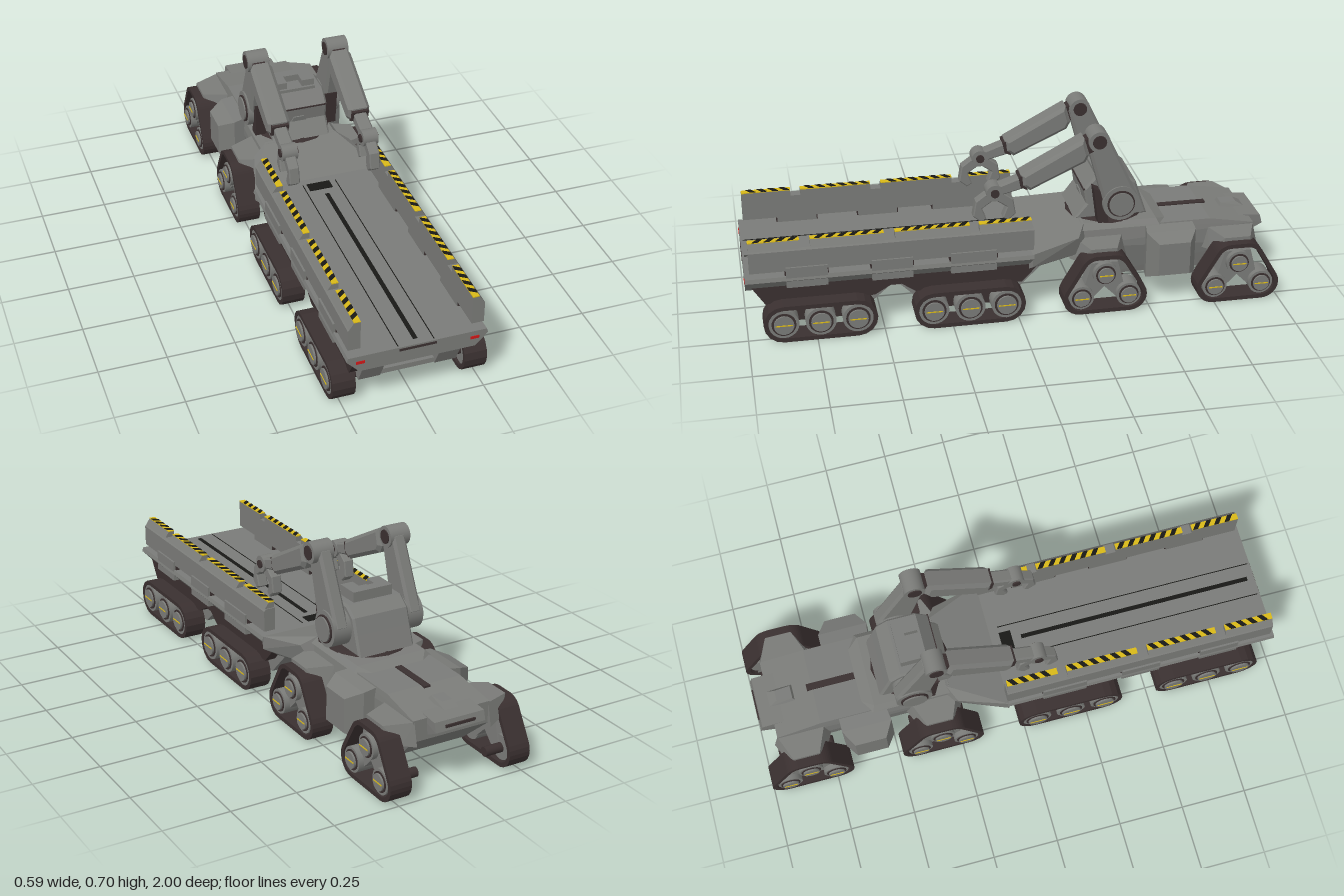
import * as THREE from 'three';
import { ConvexGeometry } from 'three/addons/geometries/ConvexGeometry.js';

const mat = (name, color) => Object.assign(new THREE.MeshStandardMaterial({ color }), { name });
const grey = mat('hull grey', 0x7a7b78);
const brown = mat('track brown', 0x3a3030);
const black = mat('black', 0x181816);
const yellow = mat('hazard yellow', 0xd8b818);
const red = mat('lamp red', 0xd01818);

export function createModel() {
  const root = new THREE.Group();
  root.name = 'trackedHauler';

  const add = (name, geo, m, parent = root) => {
    const mesh = new THREE.Mesh(geo, m);
    mesh.name = name;
    parent.add(mesh);
    return mesh;
  };
  const group = (name) => {
    const g = new THREE.Group();
    g.name = name;
    root.add(g);
    return g;
  };
  const box = (name, x0, x1, y0, y1, z0, z1, m, parent) =>
    add(name, new THREE.BoxGeometry(x1 - x0, y1 - y0, z1 - z0)
      .translate((x0 + x1) / 2, (y0 + y1) / 2, (z0 + z1) / 2), m, parent);
  const shapeOf = (pts) => new THREE.Shape(pts.map((p) => new THREE.Vector2(p[0], p[1])));
  // Side outline of (z, y) points, extruded from x0 to x1
  const profile = (name, shape, x0, x1, m, parent, b = 0) => {
    if (Array.isArray(shape)) shape = shapeOf(shape);
    const geo = new THREE.ExtrudeGeometry(shape, {
      depth: x1 - x0 - 2 * b, bevelEnabled: b > 0, bevelSize: b, bevelOffset: -b, bevelThickness: b, bevelSegments: 1,
    });
    return add(name, geo.translate(0, 0, b).rotateY(-Math.PI / 2).translate(x1, 0, 0), m, parent);
  };
  // Front outline of (x, y) points, extruded from z0 to z1
  const section = (name, pts, z0, z1, m, parent) =>
    add(name, new THREE.ExtrudeGeometry(shapeOf(pts), { depth: z1 - z0, bevelEnabled: false }).translate(0, 0, z0), m, parent);
  // Convex block, optionally mirrored in x
  const block = (name, pts, m, parent, mirror = true) => {
    const v = [];
    for (const [x, y, z] of pts) {
      v.push(new THREE.Vector3(x, y, z));
      if (mirror) v.push(new THREE.Vector3(-x, y, z));
    }
    return add(name, new ConvexGeometry(v), m, parent);
  };
  // Disc or drum lying along x
  const drum = (name, z, y, r, x0, x1, m, parent, n = 24) =>
    add(name, new THREE.CylinderGeometry(r, r, x1 - x0, n).rotateZ(Math.PI / 2).translate((x0 + x1) / 2, y, z), m, parent);
  // Belt outline around counter-clockwise wheel centres
  const beltOutline = (centres, r) => {
    const n = centres.length;
    const normal = (i) => {
      const a = centres[i % n], b = centres[(i + 1) % n];
      return Math.atan2(b[1] - a[1], b[0] - a[0]) - Math.PI / 2;
    };
    const pts = [];
    for (let i = 0; i < n; i++) {
      const a = normal(i + n - 1);
      const turn = (normal(i) - a + 4 * Math.PI) % (2 * Math.PI);
      for (let k = 0; k <= 8; k++) {
        const t = a + (turn * k) / 8;
        pts.push([centres[i][0] + r * Math.cos(t), centres[i][1] + r * Math.sin(t)]);
      }
    }
    return pts;
  };
  const track = (parent, s, centres, wheels, r, wheelR) => {
    const shape = shapeOf(beltOutline(centres, r));
    shape.holes.push(new THREE.Path(beltOutline(centres, r - 0.016).map((p) => new THREE.Vector2(...p))));
    const span = (a, b) => (s > 0 ? [a, b] : [-b, -a]);
    profile('trackBelt', shape, ...span(0.2, 0.284), brown, parent);
    for (const [z, y] of wheels) {
      drum('wheel', z, y, wheelR, ...span(0.21, 0.282), grey, parent);
      drum('wheelRecess', z, y, wheelR * 0.8, ...span(0.28, 0.285), brown, parent);
      drum('wheelHub', z, y, wheelR * 0.66, ...span(0.28, 0.292), grey, parent);
      box('hubMark', ...span(0.291, 0.294), y - 0.002, y + 0.002, z - wheelR * 0.55, z + wheelR * 0.55, yellow, parent);
      drum('axle', z, y, 0.018, ...span(0.14, 0.22), brown, parent);
    }
  };

  // Cargo bed slab and floor details
  section('bedSlab', [[-0.25, 0.25], [-0.255, 0.235], [-0.21, 0.187], [0.21, 0.187], [0.255, 0.235], [0.25, 0.25]], -0.06, 0.998, grey);
  box('floorGroove', -0.008, 0.008, 0.249, 0.252, 0.06, 0.97, black);
  for (const x of [-0.07, 0.06]) box('floorSeam', x - 0.0015, x + 0.0015, 0.249, 0.2515, -0.02, 0.99, black);
  box('floorHatch', -0.055, 0.035, 0.249, 0.253, -0.02, 0.025, black);
  box('frontSlot', -0.067, 0.067, 0.235, 0.244, 0.99, 1, brown);

  // Bed underside, with a recess in the middle of the nose
  const keel = (nose) => [[0.97 - nose, 0.19], [0.91 - nose, 0.07], [0.55, 0.07], [0.47, 0.14], [0.43, 0.14],
    [0.36, 0.07], [0, 0.07], [-0.12, 0.19]];
  profile('keel', keel(0.045), -0.1, 0.1, grey);
  box('keelSill', -0.1, 0.1, 0.07, 0.09, 0.8, 0.905, grey);

  // Neck, tractor body and deck
  block('neck', [[0.25, 0.25, -0.055], [0.25, 0.2, -0.055], [0.15, 0.13, -0.02], [0.14, 0.31, -0.27],
    [0.195, 0.275, -0.24], [0.16, 0.2, -0.28]], grey);
  block('tractorBody', [[0.15, 0.288, -0.22], [0.15, 0.288, -0.76], [0.155, 0.26, -0.93], [0.16, 0.22, -0.22],
    [0.155, 0.18, -0.93], [0.13, 0.08, -0.34], [0.13, 0.08, -0.82]], grey);
  block('deck', [[0.16, 0.285, -0.24], [0.16, 0.285, -0.56], [0.14, 0.308, -0.26], [0.14, 0.305, -0.55], [0.1, 0.285, -0.6]], grey);
  box('deckSlot', -0.013, 0.013, 0.284, 0.292, -0.78, -0.595, brown);
  block('tailBox', [[0.1, 0.272, -0.82], [0.1, 0.26, -0.975], [0.1, 0.225, -0.985], [0.095, 0.18, -0.9]], grey);
  block('tailLid', [[0.03, 0.27, -0.93], [0.035, 0.27, -0.83], [0.02, 0.288, -0.9], [0.025, 0.288, -0.84]], grey);
  box('tailSlot', -0.06, 0.06, 0.235, 0.245, -0.985, -0.978, brown);

  // Turntable and turret
  add('turntable', new THREE.CylinderGeometry(0.14, 0.15, 0.014, 16).translate(0, 0.311, -0.38), brown);
  profile('turret', [[-0.24, 0.316], [-0.285, 0.375], [-0.275, 0.435], [-0.32, 0.485], [-0.43, 0.485],
    [-0.475, 0.45], [-0.495, 0.39], [-0.52, 0.316]], -0.115, 0.115, grey, root, 0.008);
  box('turretSeam', -0.113, 0.113, 0.431, 0.436, -0.279, -0.272, brown);
  block('turretChin', [[0.03, 0.375, -0.28], [0.02, 0.395, -0.276], [0.03, 0.375, -0.3], [0.02, 0.395, -0.3]], grey);
  box('turretCap', -0.08, 0.08, 0.48, 0.497, -0.42, -0.32, grey);
  box('turretCapBack', -0.03, 0.03, 0.49, 0.523, -0.42, -0.38, grey);

  const segments = [[0.795, 0.98], [0.49, 0.757], [0.175, 0.45], [-0.055, 0.14]];
  const feet = [[0.7, 0.85], [0.39, 0.54], [0.08, 0.25]];
  for (const s of [1, -1]) {
    const side = s > 0 ? 'left' : 'right';
    const span = (a, b) => (s > 0 ? [a, b] : [-b, -a]);
    const m = (pts) => pts.map(([x, y]) => [x * s, y]);

    // Keel sides, brown skirt, lamps
    profile('keelSide', keel(0), ...span(0.1, 0.18), grey);
    profile('skirt', [[0.985, 0.215], [0.93, 0.13], [0.53, 0.13], [0.47, 0.165], [0.43, 0.165], [0.38, 0.13],
      [-0.02, 0.13], [-0.1, 0.215]], ...span(0.17, 0.222), brown);
    box('lamp', ...span(0.19, 0.222), 0.219, 0.23, 0.99, 1, red);
    box('turretCapSide', ...span(0.03, 0.08), 0.49, 0.523, -0.42, -0.33, grey);

    // Cargo wall with hazard-striped top
    const wall = group(side + 'Wall');
    section('wallPanel', m([[0.2, 0.27], [0.245, 0.27], [0.245, 0.35], [0.238, 0.358], [0.2, 0.358]]), -0.06, 0.98, grey, wall);
    for (const [z0, z1] of segments) {
      section('wallTop', m([[0.2, 0.355], [0.241, 0.355], [0.224, 0.38], [0.2, 0.38]]), z0, z1, grey, wall);
      box('hazardStrip', ...span(0.2, 0.224), 0.379, 0.383, z0, z1, yellow, wall);
      for (let z = z0 + 0.004; z + 0.04 < z1; z += 0.042) {
        const stripe = shapeOf([[0.2 * s, -z], [0.2 * s, -z - 0.02], [0.224 * s, -z - 0.038], [0.224 * s, -z - 0.018]]);
        add('hazardStripe', new THREE.ExtrudeGeometry(stripe, { depth: 0.003, bevelEnabled: false })
          .rotateX(-Math.PI / 2).translate(0, 0.382, 0), black, wall);
      }
    }
    for (const [z0, z1] of feet) {
      box('wallFoot', ...span(0.2, 0.252), 0.205, 0.285, z0, z1, grey, wall);
      box('wallFootCore', ...span(0.203, 0.243), 0.245, 0.272, z0 - 0.004, z1 + 0.004, brown, wall);
    }

    // Long tracks under the bed
    for (const c of [0.735, 0.185]) {
      const g = group(side + 'BedTrack');
      track(g, s, [[c - 0.135, 0.073], [c + 0.135, 0.073]], [-0.135, 0, 0.135].map((d) => [c + d, 0.073]), 0.073, 0.056);
      box('trackBogie', ...span(0.17, 0.225), 0.055, 0.13, c - 0.12, c + 0.12, brown, g);
    }

    // Triangular tracks with A-frames and fenders
    for (const c of [-0.325, -0.84]) {
      const g = group(side + 'TriangularTrack');
      track(g, s, [[c - 0.095, 0.065], [c + 0.095, 0.065], [c + 0.032, 0.172], [c - 0.032, 0.172]],
        [[c - 0.09, 0.068], [c + 0.09, 0.068], [c, 0.158]], 0.065, 0.047);
      profile('trackFrame', [[c - 0.09, 0.05], [c - 0.05, 0.05], [c, 0.1], [c + 0.05, 0.05], [c + 0.09, 0.05],
        [c + 0.05, 0.2], [c - 0.05, 0.2]], ...span(0.205, 0.262), grey, g);
      block('fender', [[0.15, 0.255, c - 0.09], [0.15, 0.255, c + 0.09], [0.15, 0.17, c - 0.11], [0.15, 0.17, c + 0.11],
        [0.198, 0.18, c - 0.09], [0.198, 0.18, c + 0.09], [0.25, 0.25, c - 0.05], [0.25, 0.25, c + 0.05],
        [0.25, 0.236, c - 0.05], [0.25, 0.236, c + 0.05]].map(([x, y, z]) => [x * s, y, z]), grey, g, false);
    }

    // Side pod between the triangular tracks
    block('sidePod', [[0.14, 0.285, -0.51], [0.14, 0.285, -0.69], [0.14, 0.085, -0.51], [0.14, 0.085, -0.69],
      [0.2, 0.275, -0.5], [0.2, 0.275, -0.69], [0.2, 0.09, -0.5], [0.2, 0.09, -0.69],
      [0.258, 0.25, -0.535], [0.258, 0.25, -0.655], [0.258, 0.12, -0.535], [0.258, 0.12, -0.655]]
      .map(([x, y, z]) => [x * s, y, z]), grey, root, false);

    // Crane arm
    const arm = group(side + 'Arm');
    drum('shoulder', -0.4, 0.4, 0.068, ...span(0.1, 0.186), grey, arm);
    drum('shoulderRing', -0.4, 0.4, 0.052, ...span(0.18, 0.192), brown, arm);
    drum('shoulderCap', -0.4, 0.4, 0.046, ...span(0.18, 0.197), grey, arm);
    profile('shoulderBracket', [[-0.32, 0.316], [-0.3, 0.46], [-0.34, 0.44], [-0.36, 0.316]], ...span(0.12, 0.165), brown, arm);
    profile('upperArm', [[-0.268, 0.65], [-0.3, 0.695], [-0.35, 0.67], [-0.468, 0.42], [-0.4, 0.36], [-0.338, 0.4]],
      ...span(0.125, 0.18), grey, arm, 0.01);
    drum('elbow', -0.31, 0.66, 0.04, ...span(0.118, 0.2), grey, arm);
    drum('elbowCap', -0.31, 0.66, 0.026, ...span(0.114, 0.204), brown, arm);
    profile('forearmRoot', [[-0.31, 0.69], [-0.24, 0.655], [-0.25, 0.6], [-0.32, 0.63]], ...span(0.135, 0.185), brown, arm);
    profile('forearm', [[-0.255, 0.675], [-0.02, 0.55], [-0.025, 0.505], [-0.055, 0.485], [-0.26, 0.58], [-0.275, 0.61]],
      ...span(0.115, 0.2), grey, arm, 0.014);
    profile('forearmCollar', [[-0.03, 0.548], [-0.012, 0.54], [-0.02, 0.5], [-0.045, 0.488]], ...span(0.125, 0.19), brown, arm);
    profile('forearmTip', [[-0.03, 0.54], [0.07, 0.505], [0.07, 0.465], [-0.04, 0.492]], ...span(0.132, 0.182), grey, arm, 0.006);
    drum('wrist', 0.075, 0.482, 0.032, ...span(0.128, 0.186), grey, arm, 16);
    drum('wristPin', 0.075, 0.482, 0.016, ...span(0.122, 0.192), brown, arm, 12);
    for (const d of [1, -1]) {
      const finger = [[0, 0.5], [0.07, 0.45], [0.08, 0.39], [0.05, 0.365], [0.03, 0.378], [0.046, 0.42], [0, 0.452]];
      profile('clawFinger', finger.map(([z, y]) => [0.075 + z * d, y]), ...span(0.137, 0.177), grey, arm, 0.004);
    }
  }
  return root;
}
